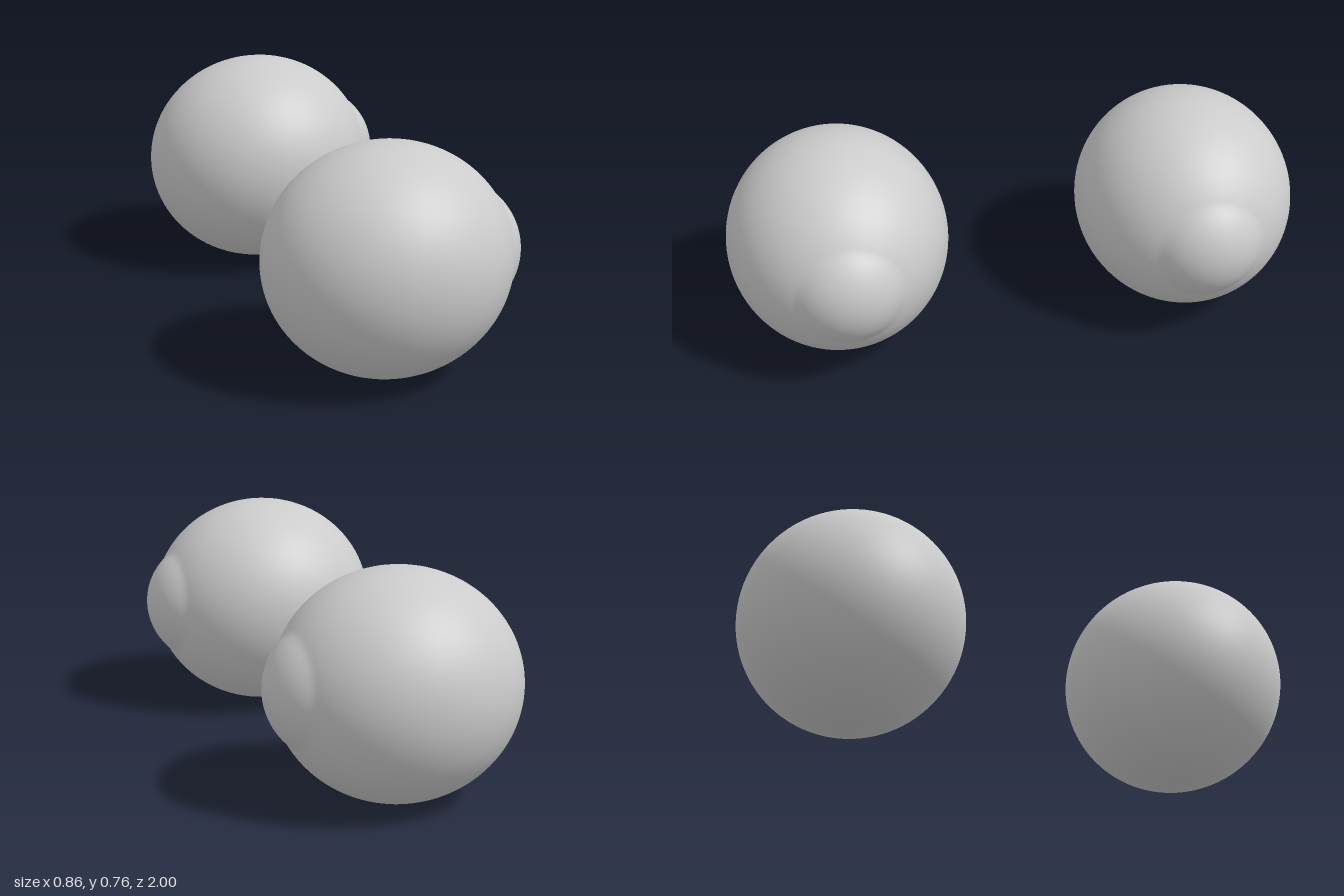
import * as THREE from 'three';

const RADIUS = 0.382;      // across the eyeball
const HALF_LENGTH = 0.41;  // along its axis
const CORNEA_RADIUS = 0.23;
const CORNEA_OFFSET = 0.218;

// Rounded union of two heights, so the cornea flows into the globe
function smoothMax(a, b, k) {
  const h = Math.max(k - Math.abs(a - b), 0) / k;
  return Math.max(a, b) + h * h * k * 0.25;
}

// Profile from the back pole to the cornea tip
function eyeProfile() {
  const points = [];
  const steps = 120;
  for (let i = 0; i <= steps; i++) {
    const t = -Math.PI / 2 + (Math.PI * i) / steps;
    const r = i === 0 || i === steps ? 0 : RADIUS * Math.cos(t);
    let h = HALF_LENGTH * Math.sin(t);
    if (h > 0 && r < CORNEA_RADIUS) {
      const dome = CORNEA_OFFSET + Math.sqrt(CORNEA_RADIUS ** 2 - r * r);
      h = smoothMax(h, dome, 0.008);
    }
    points.push(new THREE.Vector2(r, h));
  }
  return points;
}

export function createModel() {
  const group = new THREE.Group();
  group.name = 'eyes';
  const material = new THREE.MeshStandardMaterial({ color: 0xcccccc });
  const geometry = new THREE.LatheGeometry(eyeProfile(), 96);

  // Two matching eyeballs looking along +x, tipped slightly upward
  for (const side of [1, -1]) {
    const eye = new THREE.Mesh(geometry, material);
    eye.name = side > 0 ? 'frontEyeball' : 'backEyeball';
    eye.rotation.z = -Math.PI / 2 + 0.04;
    eye.position.set(-0.02, RADIUS, side * (1 - RADIUS));
    group.add(eye);
  }
  return group;
}
